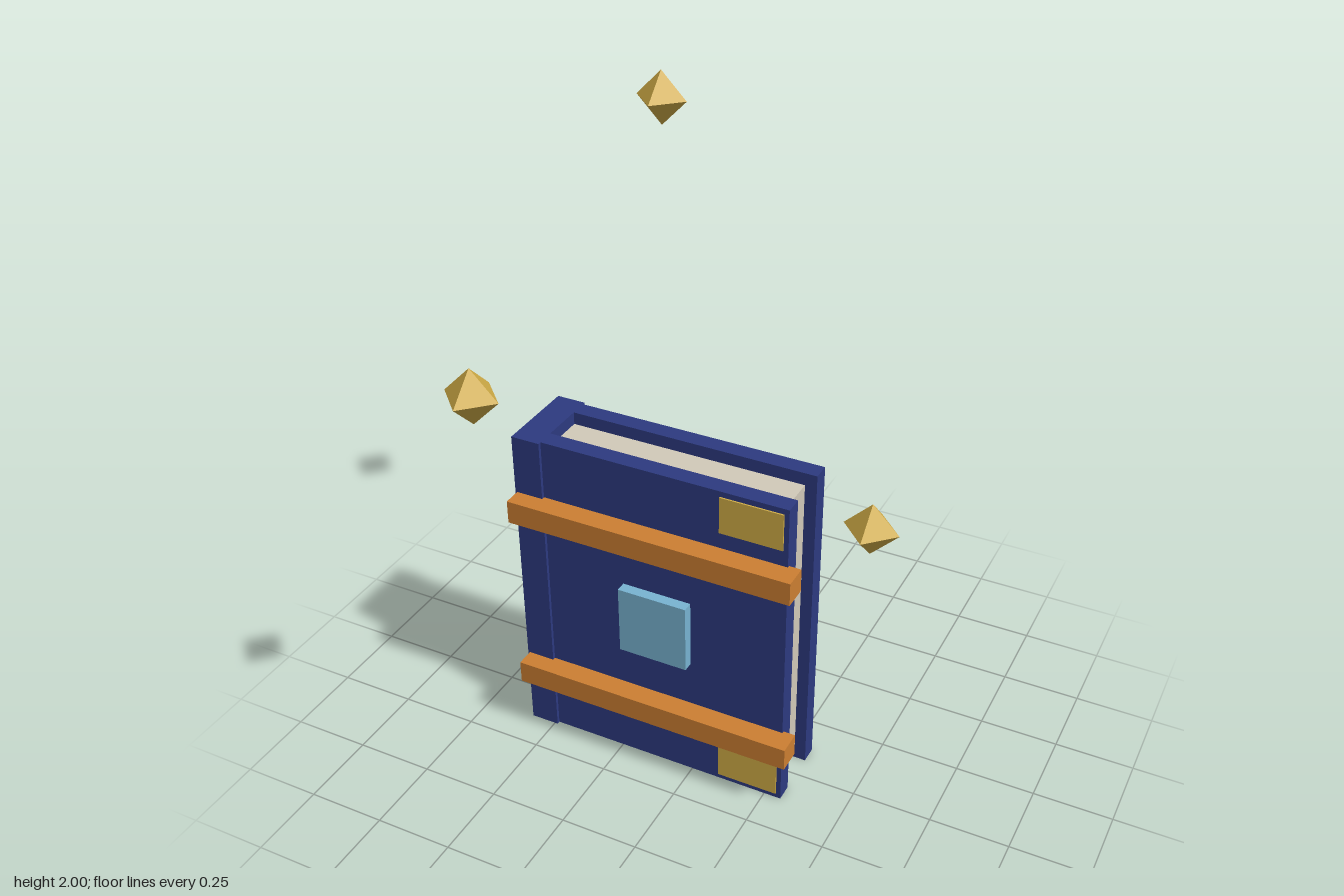
import * as THREE from 'three';

const mat = (name, color) => {
  const m = new THREE.MeshStandardMaterial({ color });
  m.name = name;
  return m;
};

export function createModel() {
  const group = new THREE.Group();
  const blue = mat('cover blue', 0x2d3a80);
  const paper = mat('paper', 0xd2cab9);
  const bronze = mat('strap bronze', 0xcd7f32);
  const gold = mat('gold', 0xd1ad47);
  const crystal = mat('gem blue', 0x78b4d2);

  // box given by its limits on each axis
  const box = (name, material, [x0, x1], [y0, y1], [z0, z1]) => {
    const mesh = new THREE.Mesh(new THREE.BoxGeometry(x1 - x0, y1 - y0, z1 - z0), material);
    mesh.position.set((x0 + x1) / 2, (y0 + y1) / 2, (z0 + z1) / 2);
    mesh.name = name;
    group.add(mesh);
  };

  // book body
  const height = [0, 1.077];
  box('spine', blue, [-0.583, -0.49], height, [-0.135, 0.132]);
  box('backCover', blue, [-0.49, 0.305], height, [-0.125, -0.07]);
  box('frontCover', blue, [-0.49, 0.305], height, [0.065, 0.121]);
  box('pages', paper, [-0.49, 0.268], [0.04, 1.037], [-0.07, 0.065]);

  // straps and corner fittings on the front cover
  for (const y of [0.195, 0.81]) box('strap', bronze, [-0.577, 0.343], [y, y + 0.075], [0.113, 0.19]);
  for (const y of [0.018, 0.939]) box('cornerFitting', gold, [0.092, 0.29], [y, y + 0.12], [0.06, 0.126]);

  // square gem in the middle of the cover
  box('gem', crystal, [-0.228, -0.003], [0.425, 0.652], [0.115, 0.155]);

  // floating crystals circling the book
  const octahedron = new THREE.OctahedronGeometry(0.083);
  for (const p of [[0.5, 1, 0], [-0.42, 1.46, 0.53], [-0.42, 1.917, -0.53]]) {
    const mesh = new THREE.Mesh(octahedron, gold);
    mesh.position.set(...p);
    mesh.name = 'floatingCrystal';
    group.add(mesh);
  }
  return group;
}
